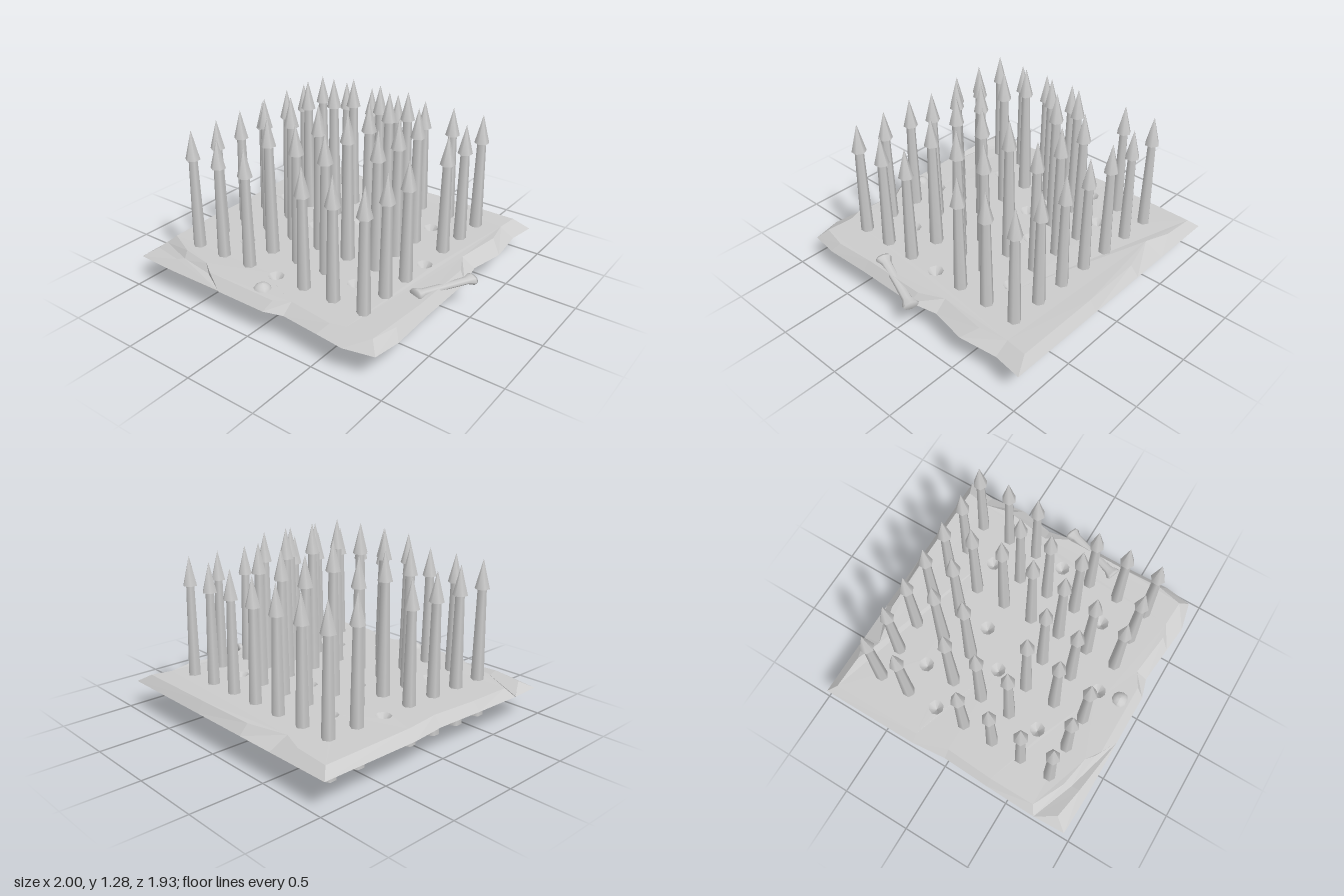
import * as THREE from 'three';

const flat = () => new THREE.MeshStandardMaterial({ color: 0xcccccc, flatShading: true, side: THREE.DoubleSide });
const smooth = () => new THREE.MeshStandardMaterial({ color: 0xcccccc, side: THREE.DoubleSide });

function addMesh(parent, name, geometry, material) {
  const mesh = new THREE.Mesh(geometry, material);
  mesh.name = name;
  parent.add(mesh);
  return mesh;
}

// Open-bottomed slab: a top face (with optional holes) and a sloping skirt.
// Each rim entry is [top x, y, z, bottom x, y, z].
function slabGeometry(rim, holes = []) {
  const tops = rim.map(r => new THREE.Vector3(r[0], r[1], r[2]));
  const bottoms = rim.map(r => new THREE.Vector3(r[3], r[4], r[5]));
  const flatten = list => list.map(p => new THREE.Vector2(p.x, p.z));
  const all = [...tops, ...holes.flat()];
  const out = [];
  const tri = (...points) => points.forEach(p => out.push(p.x, p.y, p.z));
  for (const [i, j, k] of THREE.ShapeUtils.triangulateShape(flatten(tops), holes.map(flatten))) {
    const a = all[i], b = all[j], c = all[k];
    const up = (b.z - a.z) * (c.x - a.x) - (b.x - a.x) * (c.z - a.z);
    up > 0 ? tri(a, b, c) : tri(a, c, b);
  }
  tops.forEach((t, i) => {
    const n = (i + 1) % tops.length;
    tri(t, tops[n], bottoms[n]);
    tri(t, bottoms[n], bottoms[i]);
  });
  const g = new THREE.BufferGeometry();
  g.setAttribute('position', new THREE.Float32BufferAttribute(out, 3));
  g.computeVertexNormals();
  return g;
}

export function createModel() {
  const model = new THREE.Group();
  model.name = 'spikeTrap';
  const topY = 0.263, pitch = 0.2267, holeRadius = 0.053;

  // Spike grid: s = spike, o = empty hole, . = bare floor
  const layout = ['sssssss', 'sosssos', 'ossosss', 'sso.sso', 'sssssss', 'sosssos', 'sssosss'];
  const shaft = new THREE.CylinderGeometry(0.03, 0.05, 0.89, 6).translate(0, 0.445, 0);
  const head = new THREE.CylinderGeometry(0, 0.05, 0.2, 6).translate(0, 0.99, 0);
  const pit = new THREE.ConeGeometry(holeRadius, 0.06, 8, 1, true).rotateX(Math.PI).translate(0, topY - 0.03, 0);
  const lift = [0, 0.19, 0.13, 0];
  const spikes = new THREE.Group();
  spikes.name = 'spikes';
  const pits = new THREE.Group();
  pits.name = 'emptyHoles';
  const holes = [];
  const spikeMaterial = smooth();

  layout.forEach((row, j) => [...row].forEach((kind, i) => {
    const x = -0.035 + (i - 3) * pitch, z = -0.005 + (j - 3) * pitch;
    if (kind === 's') {
      // Inner rings stand higher
      const spike = new THREE.Group();
      spike.name = 'spike';
      spike.position.set(x, lift[Math.max(Math.abs(i - 3), Math.abs(j - 3))], z);
      addMesh(spike, 'spikeShaft', shaft, spikeMaterial);
      addMesh(spike, 'spikeHead', head, spikeMaterial);
      spikes.add(spike);
    } else if (kind === 'o') {
      addMesh(pits, 'emptyHole', pit, spikeMaterial).position.set(x, 0, z);
      holes.push(Array.from({ length: 8 }, (_, k) => new THREE.Vector3(
        x + holeRadius * Math.sin(k * Math.PI / 4), topY, z + holeRadius * Math.cos(k * Math.PI / 4))));
    }
  }));
  model.add(spikes, pits);

  // Floor plate with a chipped rim; the last front points follow the crack
  const floorRim = [
    [-0.94, 0.255, -0.91, -1, 0.2, -0.97],
    [-0.7, 0.265, -0.9, -0.7, 0.2, -0.97],
    [-0.53, 0.265, -0.835, -0.53, 0.2, -0.97],
    [-0.25, 0.265, -0.91, -0.25, 0.2, -0.97],
    [0.2, 0.268, -0.92, 0.2, 0.2, -0.97],
    [0.82, 0.265, -0.92, 0.93, 0.2, -0.97],
    [0.8, 0.26, -0.77, 0.9, 0.2, -0.77],
    [0.84, 0.265, -0.58, 0.93, 0.2, -0.5],
    [0.79, 0.26, -0.24, 0.88, 0.2, -0.25],
    [0.87, 0.265, -0.08, 0.92, 0.2, -0.05],
    [0.87, 0.265, 0.4, 0.92, 0.2, 0.4],
    [0.88, 0.26, 0.68, 0.93, 0.2, 0.73],
    [0.84, 0.265, 0.86, 0.9, 0.2, 0.92],
    [0.65, 0.26, 0.85, 0.7, 0.2, 0.965],
    [0.55, 0.26, 0.88, 0.5, 0.2, 0.945],
    [0.23, 0.26, 0.84, 0.23, 0.2, 0.92],
    [0.13, 0.26, 0.9, 0.1, 0.2, 0.96],
    [-0.4, 0.265, 0.9, -0.27, 0.2, 0.96],
    [-0.5, 0.265, 0.83, -0.43, 0.215, 0.88],
    [-0.72, 0.265, 0.79, -0.7, 0.22, 0.84],
    [-0.94, 0.255, 0.68, -1, 0.2, 0.72],
    [-0.94, 0.26, 0.35, -0.99, 0.2, 0.35],
    [-0.92, 0.265, 0, -0.975, 0.2, 0],
    [-0.94, 0.26, -0.25, -1, 0.2, -0.25],
  ];
  addMesh(model, 'floorPlate', slabGeometry(floorRim, holes), flat());

  // Broken corner, sunk along the crack
  const cornerRim = [
    [-1, 0.205, 0.72, -1, 0.2, 0.72],
    [-0.7, 0.235, 0.84, -0.7, 0.2, 0.84],
    [-0.42, 0.23, 0.88, -0.42, 0.2, 0.88],
    [-0.27, 0.205, 0.96, -0.27, 0.2, 0.96],
    [-0.7, 0.255, 0.9, -0.7, 0.2, 0.96],
    [-0.92, 0.25, 0.86, -0.99, 0.2, 0.95],
  ];
  addMesh(model, 'brokenCorner', slabGeometry(cornerRim), flat());

  // Bone lying over the right rim, flared at both ends
  const start = new THREE.Vector3(0.95, 0.222, -0.1), end = new THREE.Vector3(0.79, 0.27, 0.345);
  const axis = end.clone().sub(start), len = axis.length();
  const profile = [[0, 0], [0.05, 0], [0.055, 0.015], [0.034, 0.06], [0.03, len / 2],
    [0.034, len - 0.06], [0.055, len - 0.015], [0.05, len], [0, len]].map(p => new THREE.Vector2(...p));
  const boneGeometry = new THREE.LatheGeometry(profile, 8).scale(1, 1, 0.6);
  const bone = addMesh(model, 'bone', boneGeometry, smooth());
  const along = axis.normalize();
  const side = new THREE.Vector3(0, 1, 0).cross(along).normalize();
  bone.quaternion.setFromRotationMatrix(
    new THREE.Matrix4().makeBasis(side, along, side.clone().cross(along)));
  bone.position.copy(start);

  // Small skull: a dome narrowing towards the face
  const skullGeometry = new THREE.SphereGeometry(0.062, 10, 8);
  const pos = skullGeometry.attributes.position;
  for (let i = 0; i < pos.count; i++) {
    const z = pos.getZ(i);
    if (z > 0) pos.setX(i, pos.getX(i) * (1 + 4 * z));
    if (z > 0) pos.setY(i, pos.getY(i) * (1 - 2 * z));
  }
  skullGeometry.computeVertexNormals();
  addMesh(model, 'skull', skullGeometry, smooth()).position.set(-0.01, 0.236, 0.832);

  return model;
}
